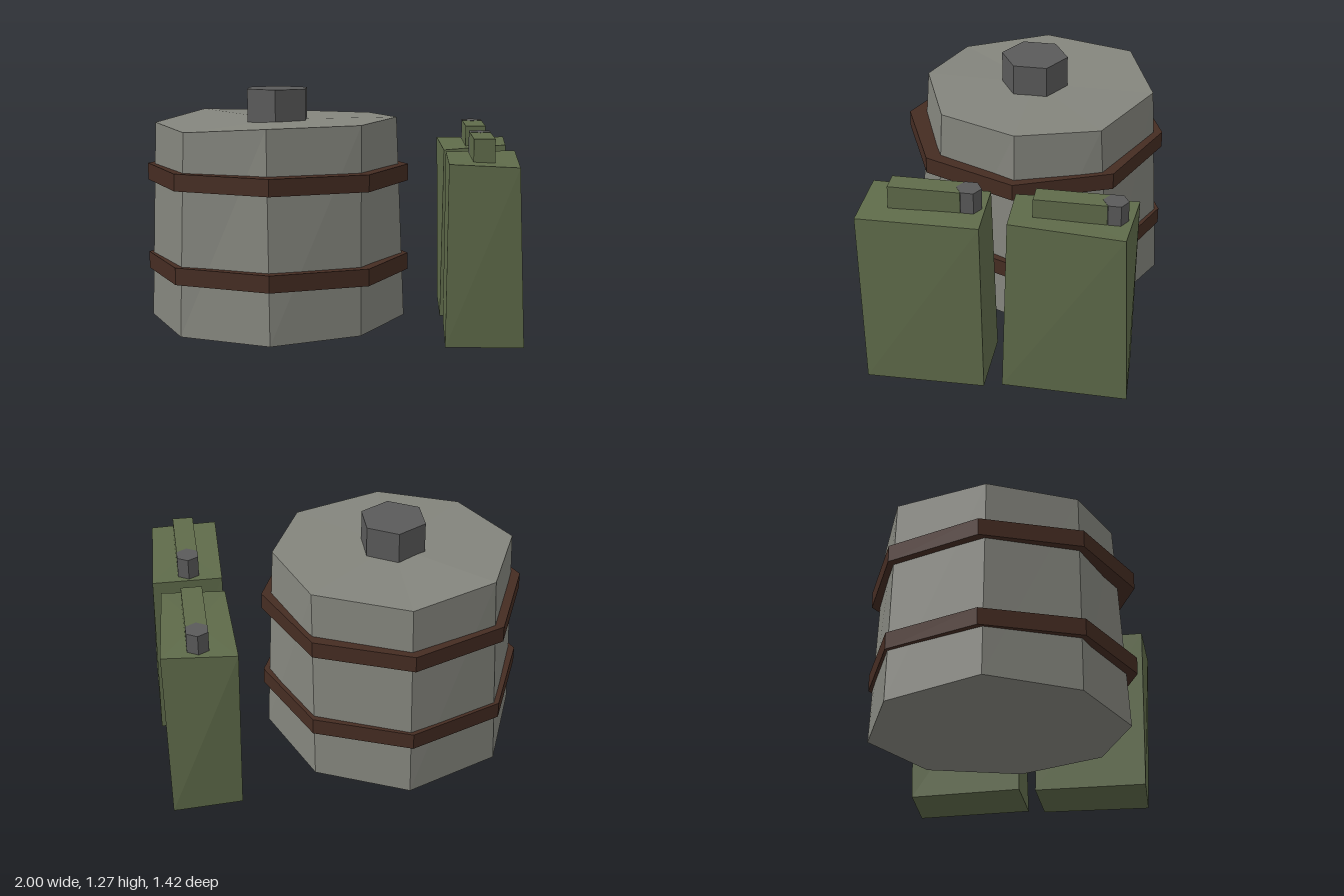
import * as THREE from 'three';

const paint = (color) => new THREE.MeshStandardMaterial({ color, flatShading: true });

// Closed solid between two rings of [x, y, z] points, both counter-clockwise from above
function loft(bottom, top) {
  const n = bottom.length, pos = [];
  const centre = (ring) => [0, 1, 2].map((k) => ring.reduce((s, p) => s + p[k], 0) / n);
  const cb = centre(bottom), ct = centre(top);
  for (let i = 0; i < n; i++) {
    const j = (i + 1) % n;
    const b0 = bottom[i], b1 = bottom[j], t0 = top[i], t1 = top[j];
    for (const p of [b0, b1, t1, b0, t1, t0, ct, t0, t1, cb, b1, b0]) pos.push(...p);
  }
  const g = new THREE.BufferGeometry();
  g.setAttribute('position', new THREE.Float32BufferAttribute(pos, 3));
  g.computeVertexNormals();
  return g;
}

export function createModel() {
  const model = new THREE.Group();
  const steel = paint(0x84857d), rust = paint(0x452c22);
  const green = paint(0x5f6b4a), dark = paint(0x5a5a5a);

  const add = (parent, name, geometry, material, x = 0, y = 0, z = 0) => {
    const mesh = new THREE.Mesh(geometry, material);
    mesh.name = name;
    mesh.position.set(x, y, z);
    parent.add(mesh);
    return mesh;
  };

  // Barrel: dented eight-sided drum, rings run front, right, back, left
  const barrel = new THREE.Group();
  barrel.name = 'barrel';
  model.add(barrel);
  add(barrel, 'drum', loft(
    [[-0.29, 0, 0.67], [0.17, 0.015, 0.47], [0.4, 0.03, 0], [0.2, 0.01, -0.49],
      [-0.28, 0, -0.705], [-0.78, 0.01, -0.5], [-0.98, 0.03, 0.02], [-0.77, 0.005, 0.48]],
    [[-0.31, 1.105, 0.6], [0.17, 1.11, 0.42], [0.355, 1.12, 0], [0.205, 1.11, -0.43],
      [-0.28, 1.105, -0.65], [-0.74, 1.125, -0.475], [-0.95, 1.09, 0.03], [-0.745, 1.075, 0.47]],
  ), steel);
  for (const y of [0.33, 0.82]) {
    add(barrel, 'hoop', new THREE.CylinderGeometry(0.709, 0.709, 0.09, 8), rust, -0.29, y, 0);
  }
  add(barrel, 'bung', new THREE.CylinderGeometry(0.18, 0.18, 0.22, 6), dark, -0.29, 1.165, 0);

  // Fuel cans: bent boxes with a grip and a spout, corners start front left in plan
  const cans = [
    { z: 0.363,
      bottom: [[0.6, 0.005, 0.67], [1, 0, 0.655], [1, 0.008, 0.045], [0.615, 0.01, 0.045]],
      top: [[0.61, 0.94, 0.68], [0.965, 0.925, 0.688], [0.99, 0.945, 0.06], [0.62, 0.94, 0.07]] },
    { z: -0.363,
      bottom: [[0.6, 0.015, -0.045], [0.975, 0.01, -0.045], [0.975, 0, -0.685], [0.61, 0.005, -0.665]],
      top: [[0.615, 0.935, -0.055], [0.95, 0.962, -0.07], [0.985, 0.95, -0.655], [0.6, 0.945, -0.68]] },
  ];
  for (const { z, bottom, top } of cans) {
    const can = new THREE.Group();
    can.name = 'fuelCan';
    model.add(can);
    add(can, 'canBody', loft(bottom, top), green);
    add(can, 'grip', new THREE.BoxGeometry(0.11, 0.155, 0.365), green, 0.795, 0.977, z);
    add(can, 'spout', new THREE.CylinderGeometry(0.064, 0.064, 0.157, 6), dark, 0.795, 0.978, z - 0.218);
  }
  return model;
}
